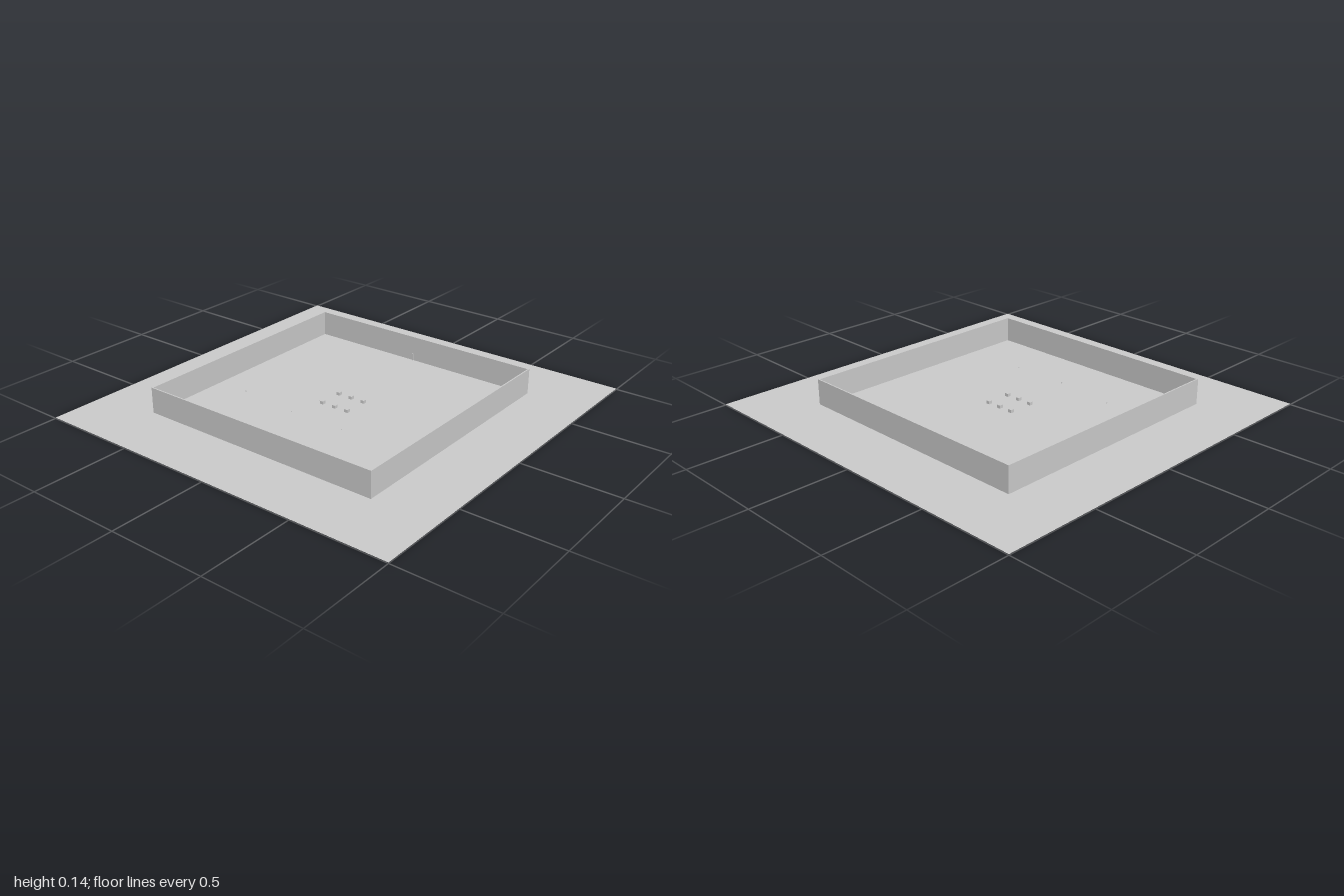
import * as THREE from 'three';

export function createModel() {
  const model = new THREE.Group();
  const material = new THREE.MeshStandardMaterial({ color: 0xcccccc, flatShading: true });
  const groundMaterial = new THREE.MeshStandardMaterial({ color: 0xcccccc, side: THREE.DoubleSide });

  // Box whose underside sits at height y
  const box = (name, w, h, d, x, y, z) => {
    const mesh = new THREE.Mesh(new THREE.BoxGeometry(w, h, d), material);
    mesh.name = name;
    mesh.position.set(x, y + h / 2, z);
    model.add(mesh);
  };

  // Thin ground sheet
  const floorY = 0.004;
  const ground = new THREE.Mesh(new THREE.PlaneGeometry(2, 2), groundMaterial);
  ground.name = 'ground';
  ground.rotation.x = -Math.PI / 2;
  ground.position.y = floorY;
  model.add(ground);

  // Four walls of the square enclosure
  const outer = 0.667, thick = 0.007, wallHeight = 0.135;
  const middle = outer - thick / 2;
  for (const [side, s] of [['left', 1], ['right', -1]]) {
    box(`${side}Wall`, thick, wallHeight, outer * 2, s * middle, floorY, 0);
  }
  for (const [side, s] of [['front', 1], ['back', -1]]) {
    box(`${side}Wall`, (outer - thick) * 2, wallHeight, thick, 0, floorY, s * middle);
  }

  // Two rows of small cubes in the middle
  for (const z of [-0.06, 0.073]) {
    for (const x of [-0.08, -0.002, 0.075]) box('cube', 0.02, 0.02, 0.02, x, 0, z);
  }

  // Tiny floating specks
  for (const [x, z] of [[-0.41, 0.275], [-0.08, 0.31], [0.228, 0.31]]) {
    box('speck', 0.004, 0.004, 0.004, x, 0.05, z);
  }

  // Slim post against the inside of the back wall
  box('post', 0.006, 0.04, 0.004, -0.04, floorY, -0.658);

  return model;
}
